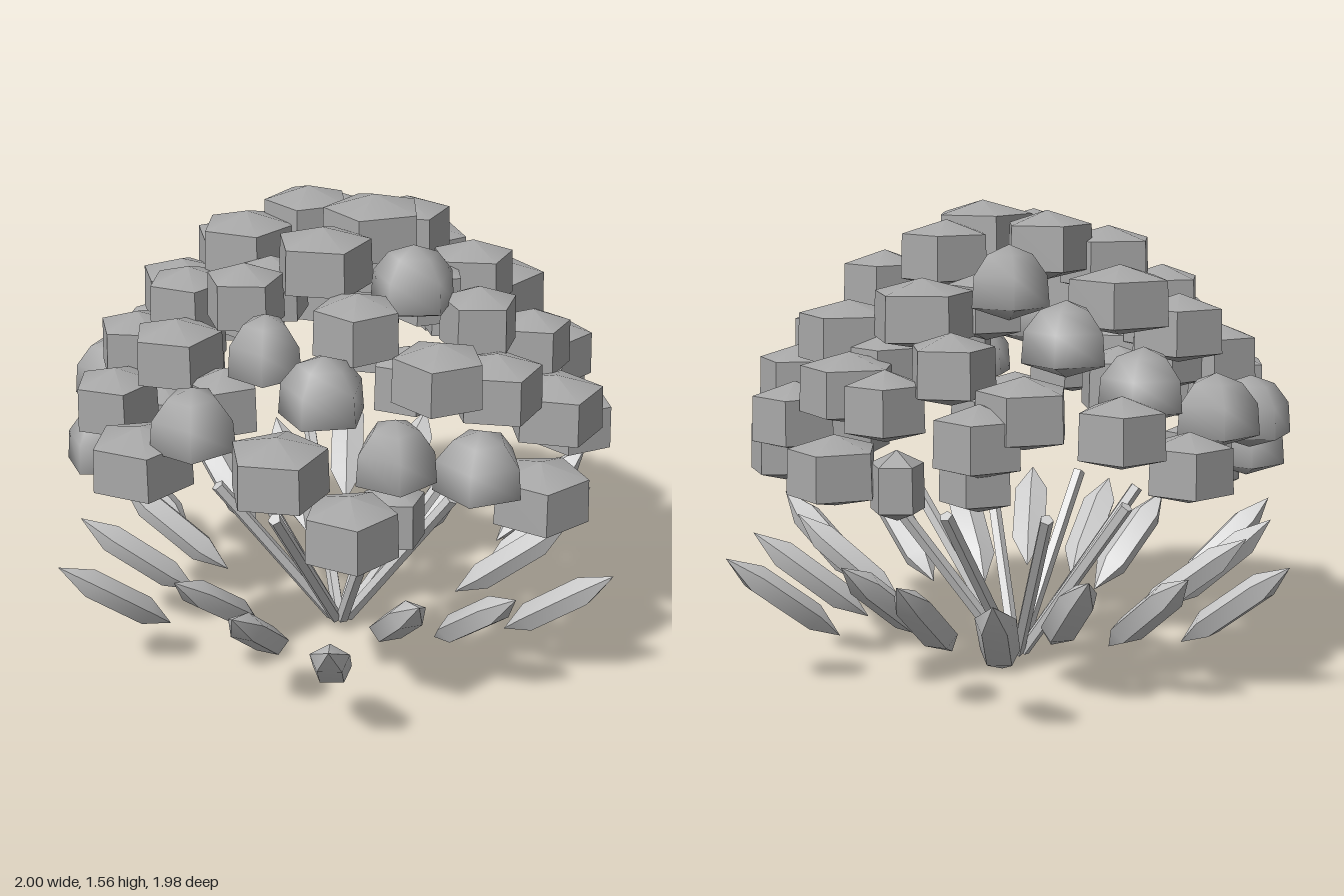
import * as THREE from 'three';
import { toCreasedNormals } from 'three/addons/utils/BufferGeometryUtils.js';

const grey = new THREE.MeshStandardMaterial({ color: 0xcccccc });
const budGrey = new THREE.MeshStandardMaterial({ color: 0xa8a8a8 });

// small seeded random
let seed = 7;
const rand = () => (seed = (seed * 16807) % 2147483647) / 2147483647;

function mesh(name, geometry, material = grey) {
  const m = new THREE.Mesh(geometry, material);
  m.name = name;
  return m;
}

// five-sided bud: a block with shallow pointed caps, or a rounder dome
function budGeometry(r, round) {
  const points = (round
    ? [[0, -0.115], [r, -0.07], [r * 0.94, 0.03], [r * 0.58, 0.095], [0, 0.125]]
    : [[0, -0.11], [r, -0.075], [r * 0.97, 0.07], [0, 0.115]]
  ).map(([x, y]) => new THREE.Vector2(x, y));
  return toCreasedNormals(new THREE.LatheGeometry(points, 5), round ? 1.3 : 0.6);
}

// x, z, radius of the crown buds; a negative radius marks a round bud
const crown = [
  [0.11, -0.02, 0.17], [0.02, 0.24, 0.16], [-0.31, 0.04, 0.16], [-0.15, -0.12, 0.15],
  [0.165, -0.21, 0.15], [0.41, -0.15, 0.14], [-0.42, -0.19, 0.17], [0.3, 0.18, -0.14],
  [0.5, 0.11, 0.13], [-0.2, 0.36, 0.13], [-0.44, 0.24, 0.14], [0.19, 0.42, 0.14],
  [0.45, 0.4, 0.15], [-0.07, 0.53, -0.12], [0.14, 0.6, -0.14], [-0.4, 0.45, 0.15],
  [-0.63, 0.43, 0.14], [-0.26, 0.67, -0.14], [-0.43, 0.69, 0.165], [0.38, 0.64, -0.13],
  [0.05, 0.77, 0.16], [0.61, 0.5, -0.145], [0.6, 0.27, 0.15],
  [0.75, 0.08, 0.16], [0.63, -0.1, 0.13], [0.43, -0.4, 0.17],
  [0.14, -0.48, 0.17], [-0.11, -0.37, -0.13], [-0.33, -0.46, -0.14], [-0.56, -0.4, -0.14],
  [-0.74, -0.19, -0.14], [-0.57, -0.02, 0.15], [-0.79, 0.08, -0.14], [-0.64, 0.21, 0.14],
  [-0.54, -0.56, 0.14], [-0.27, -0.68, 0.15],
  [-0.02, -0.64, 0.14], [0.33, -0.62, 0.16], [0.55, -0.56, 0.14],
  [0.17, -0.71, 0.13], [-0.16, -0.77, 0.14], [0.65, -0.32, 0.14],
];

// x, y, z, radius of the buds around and under the rim
const rim = [
  [0.75, 0.71, 0.26, 0.16], [0.28, 0.75, 0.77, 0.15], [-0.72, 0.73, 0.35, -0.13],
  [0.34, 0.76, -0.72, 0.15], [0.76, 0.79, -0.19, 0.14], [-0.61, 0.67, 0.32, -0.09],
  [-0.13, 0.77, -0.7, 0.12], [0.16, 0.71, -0.65, 0.09], [-0.7, 0.77, -0.36, 0.14],
  [0.36, 0.72, 0.57, 0.1], [0.62, 0.78, -0.5, 0.12], [-0.62, 0.74, 0.08, 0.12],
];

// x, y, z, radius of the inner buds that close the gaps
const inner = [
  [0, 1.24, -0.28, 0.13], [-0.18, 1.27, 0.17, 0.13], [0.3, 1.26, 0.01, 0.13],
  [0.33, 1.08, 0.34, 0.12], [-0.5, 1.05, 0.1, 0.13], [-0.45, 1.02, -0.3, 0.13],
  [0.28, 1.05, -0.45, 0.13], [0.52, 0.98, 0.05, 0.12], [-0.22, 1, 0.5, 0.12],
];

export function createModel() {
  const model = new THREE.Group();

  // domed crown of upright buds
  const buds = new THREE.Group();
  buds.name = 'budCrown';
  const addBud = (x, y, z, r) => {
    const bud = mesh('bud', budGeometry(Math.abs(r), r < 0), budGrey);
    bud.position.set(x, y, z);
    bud.rotation.y = rand() * 6.28;
    buds.add(bud);
  };
  for (const [x, z, r] of crown) addBud(x, 1.46 - 0.92 * (x * x + z * z), z, r);
  for (const [x, y, z, r] of [...rim, ...inner]) addBud(x, y, z, r);
  model.add(buds);

  // eight stems fanning out from the base
  const stems = new THREE.Group();
  stems.name = 'stems';
  const up = new THREE.Vector3(0, 1, 0);
  for (let i = 0; i < 8; i++) {
    const a = THREE.MathUtils.degToRad(12 + i * 45);
    const base = new THREE.Vector3(0.03 * Math.cos(a), 0.015, 0.03 * Math.sin(a));
    const tip = new THREE.Vector3(0.43 * Math.cos(a), 0.57, 0.43 * Math.sin(a));
    const dir = tip.clone().sub(base);
    const geo = new THREE.CylinderGeometry(0.023, 0.023, dir.length(), 5).toNonIndexed();
    geo.computeVertexNormals();
    const stem = mesh('stem', geo);
    stem.position.copy(base).add(tip).multiplyScalar(0.5);
    stem.quaternion.setFromUnitVectors(up, dir.normalize());
    stems.add(stem);
  }
  model.add(stems);

  // three rings of long faceted leaves leaning outward
  const leaves = new THREE.Group();
  leaves.name = 'leaves';
  const leafGeo = toCreasedNormals(
    new THREE.SphereGeometry(1, 5, 3).scale(0.055, 0.245, 0.075), 0.6);
  [[14, 0.84], [34, 0.7], [54, 0.6]].forEach(([offset, rho]) => {
    for (let k = 0; k < 6; k++) {
      const a = THREE.MathUtils.degToRad(offset + k * 60);
      const leaf = mesh('leaf', leafGeo);
      leaf.position.set(rho * Math.cos(a), 0.3, rho * Math.sin(a));
      leaf.rotation.set(0, -a, -0.9, 'YXZ');
      leaves.add(leaf);
    }
  });
  model.add(leaves);

  return model;
}
